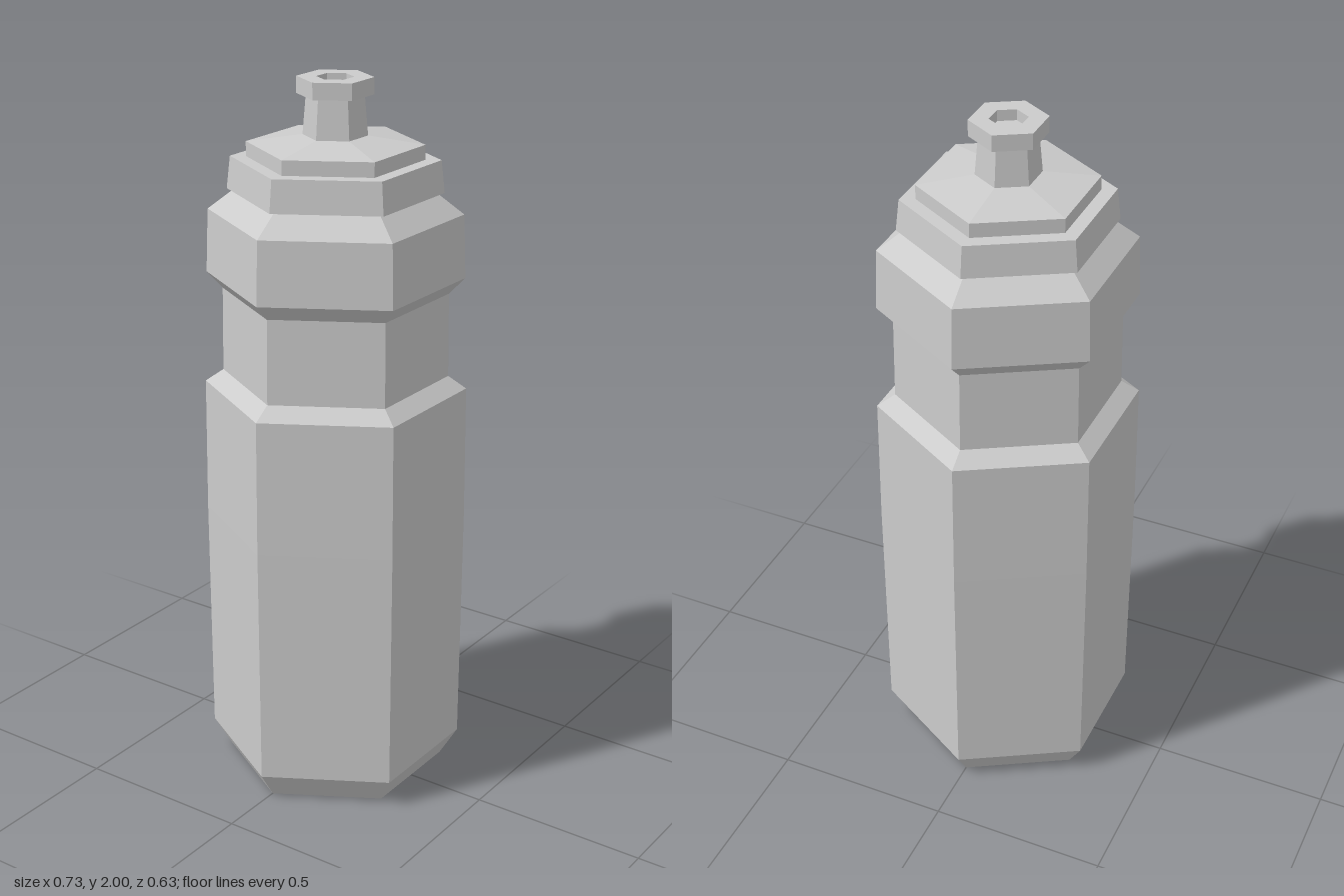
import * as THREE from 'three';

const material = new THREE.MeshStandardMaterial({ color: 0xcccccc, flatShading: true });

// Six-sided turned part with corners on the x axis; profile is [radius, y] from bottom to top
function hexPart(name, profile) {
  const points = profile.map(([r, y]) => new THREE.Vector2(r, y));
  const mesh = new THREE.Mesh(new THREE.LatheGeometry(points, 6, Math.PI / 2), material);
  mesh.name = name;
  return mesh;
}

export function createModel() {
  const bottle = new THREE.Group();
  bottle.name = 'sportsBottle';

  // Bottle: chamfered base, slightly bulging body, grip waist, wide shoulder
  bottle.add(hexPart('bottleBody', [
    [0, 0], [0.31, 0], [0.36, 0.08], [0.363, 0.77], [0.36, 1.15],
    [0.31, 1.185], [0.307, 1.42], [0.35, 1.465], [0.343, 1.64],
    [0.265, 1.7], [0, 1.7],
  ]));

  // Screw cap: overhanging collar
  bottle.add(hexPart('capCollar', [
    [0, 1.697], [0.29, 1.697], [0.28, 1.785], [0, 1.785],
  ]));

  // Raised lid with a shallow slope towards the spout
  bottle.add(hexPart('capLid', [
    [0.237, 1.785], [0.237, 1.825], [0.085, 1.847], [0, 1.847],
  ]));

  // Spout: tapered stem, flanged lip and recessed drinking hole
  bottle.add(hexPart('spout', [
    [0.087, 1.84], [0.077, 1.955], [0.102, 1.955], [0.102, 2],
    [0.05, 2], [0.05, 1.97], [0, 1.97],
  ]));

  return bottle;
}
